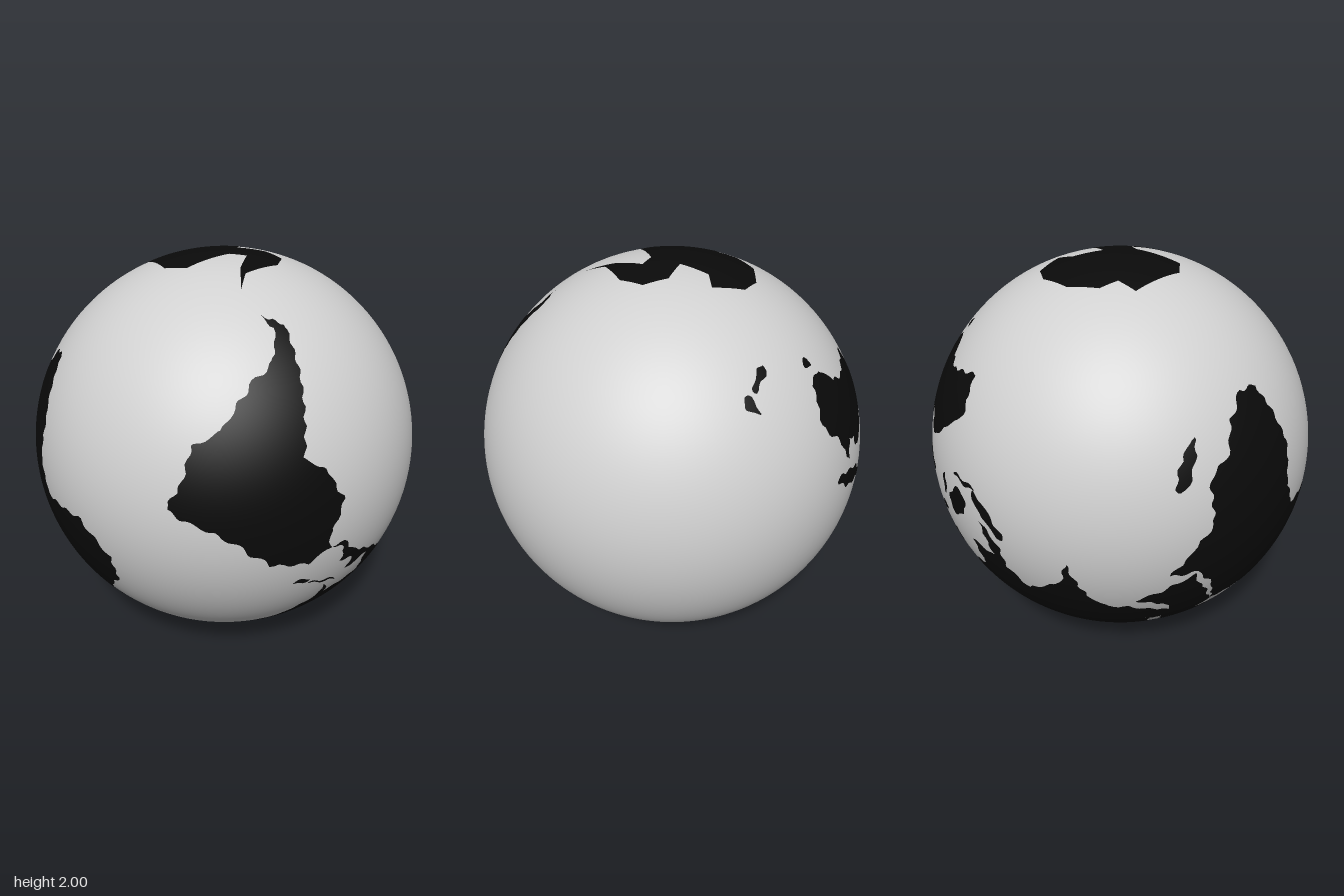
import * as THREE from 'three';

const OCEAN_R = 0.998, FRONT_LON = -87;
const RAD = Math.PI / 180;

// Rough coastlines as longitude, latitude pairs; the globe stands with its south pole up.
const continents = {
  southAmerica: [-78,8, -72,12, -61,10, -50,1, -35,-6, -39,-14, -41,-22, -48,-26, -57,-37, -65,-42, -69,-51, -65,-55,
    -74,-52, -73,-38, -70,-18, -76,-14, -81,-5, -77,4],
  northAmerica: [-78,8, -83,10, -83,15, -88,16, -87,21, -95,18, -97,27, -84,30, -81,25, -81,31, -70,42, -61,46, -65,49,
    -56,52, -64,60, -78,62, -79,52, -94,58, -82,69, -128,70, -156,71, -167,66, -162,59, -152,60, -139,60, -124,48,
    -124,40, -117,33, -110,23, -114,31, -105,21, -95,16, -87,13, -83,8],
  africa: [-6,36, 10,37, 11,34, 19,30, 33,31, 37,20, 43,12, 51,12, 40,-3, 41,-15, 35,-20, 32,-28, 26,-34, 19,-34,
    12,-17, 13,-6, 9,4, -8,4, -17,13, -17,22, -10,30],
  middleEast: [33,31, 36,36, 27,37, 27,40, 41,42, 49,41, 50,37, 61,37, 61,25, 57,27, 48,30, 51,25, 60,22, 44,13, 35,28],
  europe: [28,41, 23,40, 23,37, 13,45, 18,40, 16,38, 10,44, 3,43, -2,37, -9,37, -9,43, -1,43, -4,48, 8,54, 10,57,
    11,54, 21,55, 23,59, 30,60, 33,64, 44,67, 60,69, 60,45, 47,46, 48,42, 41,42, 37,45, 31,46],
  scandinavia: [30,60, 22,60, 25,65, 17,61, 16,57, 13,56, 6,58, 5,62, 15,69, 27,71, 41,67, 33,64],
  asia: [60,45, 60,69, 68,72, 80,72, 104,78, 113,74, 160,70, 190,66, 164,60, 157,51, 156,57, 161,61, 142,59, 136,54,
    140,49, 130,42, 129,35, 121,39, 122,31, 114,22, 108,21, 109,11, 101,13, 104,2, 98,8, 97,16, 91,22, 80,15, 78,8,
    73,20, 67,25, 61,25, 61,37, 54,37, 53,44],
  australia: [142,-11, 146,-19, 153,-26, 150,-37, 144,-39, 138,-34, 131,-32, 116,-35, 114,-24, 122,-18, 130,-12,
    136,-12, 136,-15, 140,-17],
  greenland: [-44,60, -40,65, -22,70, -12,81, -32,83, -72,79, -55,74, -53,66],
};

// Islands as ellipses: longitude, latitude, half length, half width, tilt in degrees.
const islands = {
  baffinIsland: [-74,68,7,2.5,-45], ellesmereIsland: [-79,80,4.5,2,50], victoriaIsland: [-111,71,4,2,0],
  newfoundland: [-56,49,2,2,0], iceland: [-18,65,2.4,1.2,0], britain: [-2,54,4.3,1.4,110],
  novayaZemlya: [58,73,4.5,0.6,55], cuba: [-79,22,5,0.5,-18], hispaniola: [-71,19,2.5,0.8,0],
  madagascar: [47,-19,6.8,1.8,70], sumatra: [101,0,8,1.6,-48], java: [110,-7,4.6,0.7,-8], borneo: [114,1,5.5,3.6,50],
  sulawesi: [121,-2,3.6,1,90], newGuinea: [140,-5,10,2.4,-22], luzon: [121,16,2.8,1,110], mindanao: [125,8,2,1.5,0],
  southernJapan: [134,34,4,0.9,18], northernJapan: [140,38,3.6,1,75], hokkaido: [143,43,1.8,1.4,0],
  sakhalin: [143,50,4,0.6,95], northNewZealand: [176,-38,3,1.3,-60], southNewZealand: [170,-44,4,1.2,48],
  tasmania: [147,-42,1.5,1.4,0],
};

// Antarctica is drawn on the flat x, z plane above the pole.
const antarctica = [-0.2,0.38, -0.11,0.3, 0.1,0.28, 0.2,0.2, 0.2,0.08, 0.09,-0.01, 0.2,-0.11, 0.3,-0.09, 0.3,-0.25,
  0.22,-0.34, 0.05,-0.4, -0.1,-0.37, -0.15,-0.29, -0.25,-0.31, -0.33,-0.03, -0.28,0.08, -0.04,0.09, 0.02,0.15, -0.1,0.25];

// A gentle ripple makes straight outline segments read as natural coast.
const fromLonLat = ([lon, lat]) => {
  const d = (lon + 0.5 * Math.sin(lat * 1.3) - FRONT_LON) * RAD;
  const t = (lat + 0.5 * Math.sin(lon * 1.1)) * RAD;
  return new THREE.Vector3(-Math.cos(t) * Math.sin(d), -Math.sin(t), Math.cos(t) * Math.cos(d));
};
const fromPolar = ([x, z]) => new THREE.Vector3(x, Math.sqrt(1 - x * x - z * z), z);

const pairs = flat => Array.from({ length: flat.length / 2 }, (_, i) => new THREE.Vector2(flat[2 * i], flat[2 * i + 1]));

function ellipse([lon, lat, length, width, tilt]) {
  const curve = new THREE.EllipseCurve(0, 0, length, width, 0, Math.PI * 2, false, tilt * RAD);
  return curve.getPoints(16).slice(0, -1)
    .map(p => new THREE.Vector2(lon + p.x / Math.cos(lat * RAD), lat + p.y));
}

// Fills a flat outline, splits long edges and wraps the result onto the globe.
function landGeometry(outline, project, maxEdge) {
  const points = [];
  const add = (a, b, c) => {
    const length = (p, q) => Math.hypot(p[0] - q[0], p[1] - q[1]);
    const edges = [length(a, b), length(b, c), length(c, a)], longest = Math.max(...edges);
    if (longest > maxEdge) {
      if (longest === edges[1]) [a, b, c] = [b, c, a];
      else if (longest === edges[2]) [a, b, c] = [c, a, b];
      const m = [(a[0] + b[0]) / 2, (a[1] + b[1]) / 2];
      add(a, m, c);
      add(m, b, c);
      return;
    }
    let [p, q, r] = [a, b, c].map(project);
    const normal = q.clone().sub(p).cross(r.clone().sub(p));
    if (normal.dot(p) < 0) [q, r] = [r, q];
    for (const v of [p, q, r]) points.push(v.x, v.y, v.z);
  };
  for (const tri of THREE.ShapeUtils.triangulateShape(outline, [])) add(...tri.map(i => outline[i].toArray()));
  // On a sphere of radius one, each position is also its smooth normal.
  const geometry = new THREE.BufferGeometry();
  geometry.setAttribute('position', new THREE.Float32BufferAttribute(points, 3));
  geometry.setAttribute('normal', new THREE.Float32BufferAttribute(points, 3));
  return geometry;
}

export function createModel() {
  const group = new THREE.Group();
  group.name = 'globe';
  const oceanGrey = new THREE.MeshStandardMaterial({ color: 0xd0d0d0 });
  oceanGrey.name = 'oceanGrey';
  const landBlack = new THREE.MeshStandardMaterial({ color: 0x0a0a0a });
  landBlack.name = 'landBlack';
  const part = (name, geometry, material) => {
    const mesh = new THREE.Mesh(geometry, material);
    mesh.name = name;
    mesh.position.y = OCEAN_R;
    group.add(mesh);
  };

  part('ocean', new THREE.SphereGeometry(OCEAN_R, 128, 64), oceanGrey);
  for (const [name, flat] of Object.entries(continents)) part(name, landGeometry(pairs(flat), fromLonLat, 1.5), landBlack);
  for (const [name, data] of Object.entries(islands)) part(name, landGeometry(ellipse(data), fromLonLat, 1.5), landBlack);
  part('antarctica', landGeometry(pairs(antarctica), fromPolar, 0.04), landBlack);
  return group;
}
